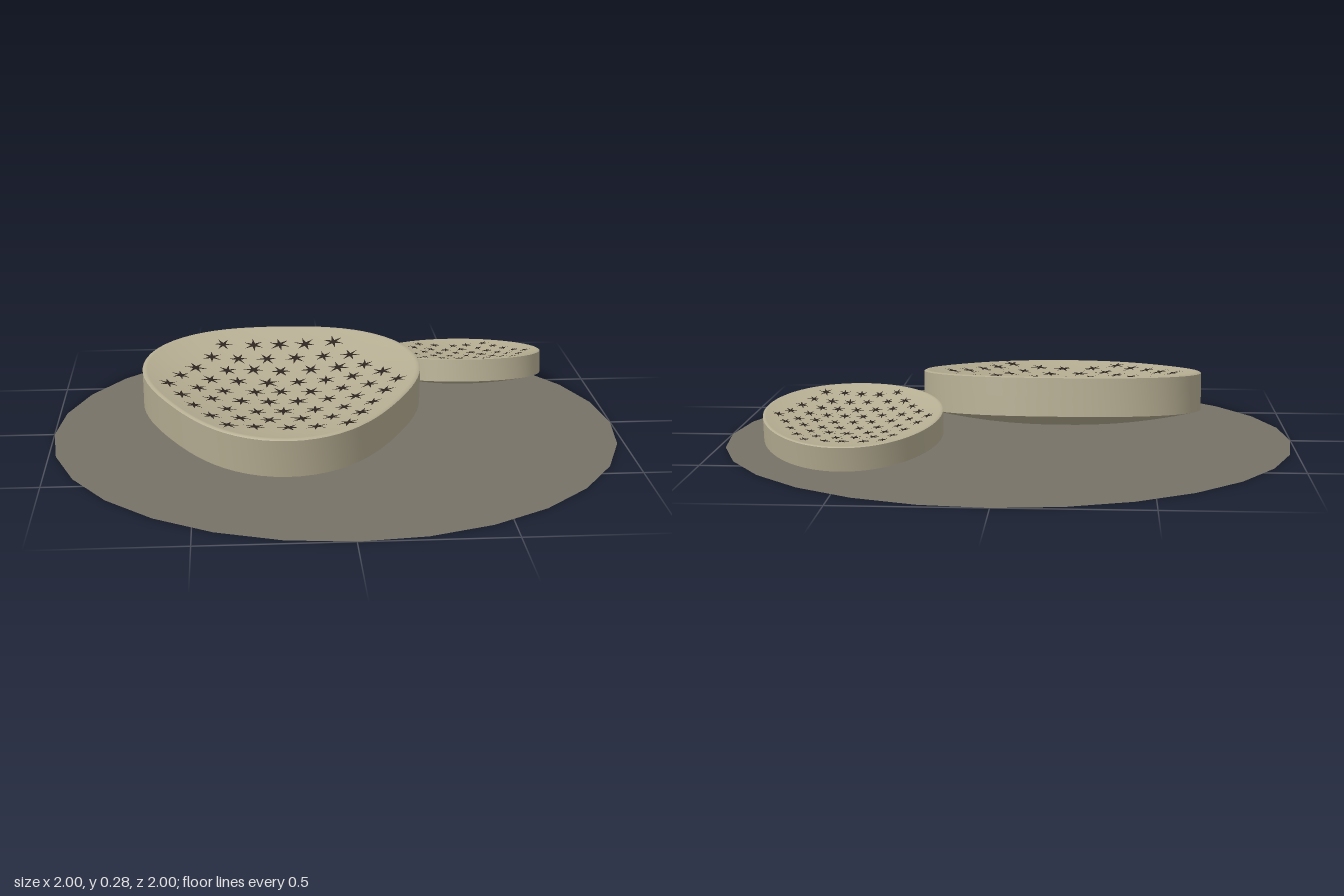
import * as THREE from 'three';
import { mergeVertices } from 'three/addons/utils/BufferGeometryUtils.js';

const R = 0.48;          // mean radius of an unscaled plate
const LIP = 0.94;        // where the lip ends and the bowl begins
const HEIGHT = 0.133, SAG = 0.063;

const mats = {};
function material(name, color, side = THREE.FrontSide) {
  const m = new THREE.MeshStandardMaterial({ color, side });
  m.name = name;
  return (mats[name] = m);
}

// Small seeded random
function seeded(seed) {
  return () => (seed = (seed * 16807) % 2147483647) / 2147483647;
}

// Egg-shaped outline: phi is measured from +z
const outline = (phi, egg) => R + egg * Math.cos(3 * phi);

// Bowl height at a fraction f of the outline radius
const bowlY = (f) => -0.006 - 0.056 * (1 - Math.min(1, (f / LIP) ** 2));

// Revolve a profile of [fraction, y] and push it out to the egg outline
function eggLathe(profile, egg) {
  let g = new THREE.LatheGeometry(profile.map(([f, y]) => new THREE.Vector2(f, y)), 72);
  const p = g.attributes.position;
  for (let i = 0; i < p.count; i++) {
    const x = p.getX(i), z = p.getZ(i);
    const r = outline(Math.atan2(x, z), egg);
    p.setX(i, x * r);
    p.setZ(i, z * r);
  }
  g.deleteAttribute('uv');
  g.deleteAttribute('normal');
  g = mergeVertices(g, 1e-5);
  g.computeVertexNormals();
  return g;
}

function starGeometry(radius) {
  const shape = new THREE.Shape();
  for (let i = 0; i < 12; i++) {
    const r = i % 2 ? radius * 0.28 : radius;
    const a = (i * Math.PI) / 6;
    shape[i ? 'lineTo' : 'moveTo'](r * Math.cos(a), r * Math.sin(a));
  }
  return new THREE.ShapeGeometry(shape);
}

function add(parent, name, geometry, mat) {
  const m = new THREE.Mesh(geometry, mat);
  m.name = name;
  parent.add(m);
  return m;
}

// One coral plate; its origin is the middle of the rim plane
function coralPlate(name, egg, starShift, seed) {
  const plate = new THREE.Group();
  plate.name = name;
  const steps = [...Array(9).keys()].map((i) => i / 8);

  add(plate, 'underside', eggLathe(steps.map((f) => [f, -HEIGHT - SAG * (1 - f * f)]), egg), mats.coral);
  add(plate, 'wall', eggLathe([[1, -HEIGHT], [1, -HEIGHT / 2], [1, -0.004]], egg), mats.coral);
  const bowl = steps.map((f) => [f * LIP, bowlY(f * LIP)]).reverse();
  add(plate, 'bowl', eggLathe([[1, -0.004], [0.985, 0], [0.965, -0.001], ...bowl], egg), mats.coral);

  // Star-shaped polyps in a hexagonal field lying on the bowl
  const rand = seeded(seed);
  const star = starGeometry(0.039);
  const stars = new THREE.Group();
  stars.name = 'polyps';
  plate.add(stars);
  const surface = (x, z) => bowlY(Math.hypot(x, z) / outline(Math.atan2(x, z), egg));
  const up = new THREE.Vector3(0, 0, 1), normal = new THREE.Vector3(), e = 0.005;
  for (let row = -4; row <= 4; row++) {
    const count = 9 - Math.abs(row);
    for (let i = 0; i < count; i++) {
      const x = (i - (count - 1) / 2) * 0.1 + (rand() - 0.5) * 0.014;
      const z = row * 0.0866 + starShift + (rand() - 0.5) * 0.014;
      const polyp = add(stars, 'polyp', star, mats.polyp);
      normal.set(surface(x - e, z) - surface(x + e, z), 2 * e, surface(x, z - e) - surface(x, z + e)).normalize();
      polyp.position.set(x, surface(x, z), z).addScaledVector(normal, 0.004);
      polyp.quaternion.setFromUnitVectors(up, normal);
      polyp.rotateZ(rand() * Math.PI);
      polyp.scale.setScalar(0.92 + rand() * 0.16);
    }
  }
  return plate;
}

export function createModel() {
  material('coral', 0xb5ad92);
  material('polyp', 0x2c241f, THREE.DoubleSide);
  material('seabed', 0x777266, THREE.DoubleSide);

  const model = new THREE.Group();
  model.name = 'coralPlates';

  // Flat ground disc with 28 sides
  const disc = add(model, 'seabedDisc', new THREE.CircleGeometry(1, 28), mats.seabed);
  disc.rotation.x = -Math.PI / 2;

  // Large plate leaning forward
  const large = coralPlate('largePlate', 0.035, 0.025, 11);
  large.position.set(-0.19, 0.237, 0.09);
  large.rotation.x = 0.105;
  model.add(large);

  // Small plate leaning backward
  const small = coralPlate('smallPlate', -0.012, 0, 47);
  small.position.set(0.5, 0.165, -0.403);
  small.rotation.x = -0.17;
  small.scale.setScalar(0.625);
  model.add(small);

  return model;
}
